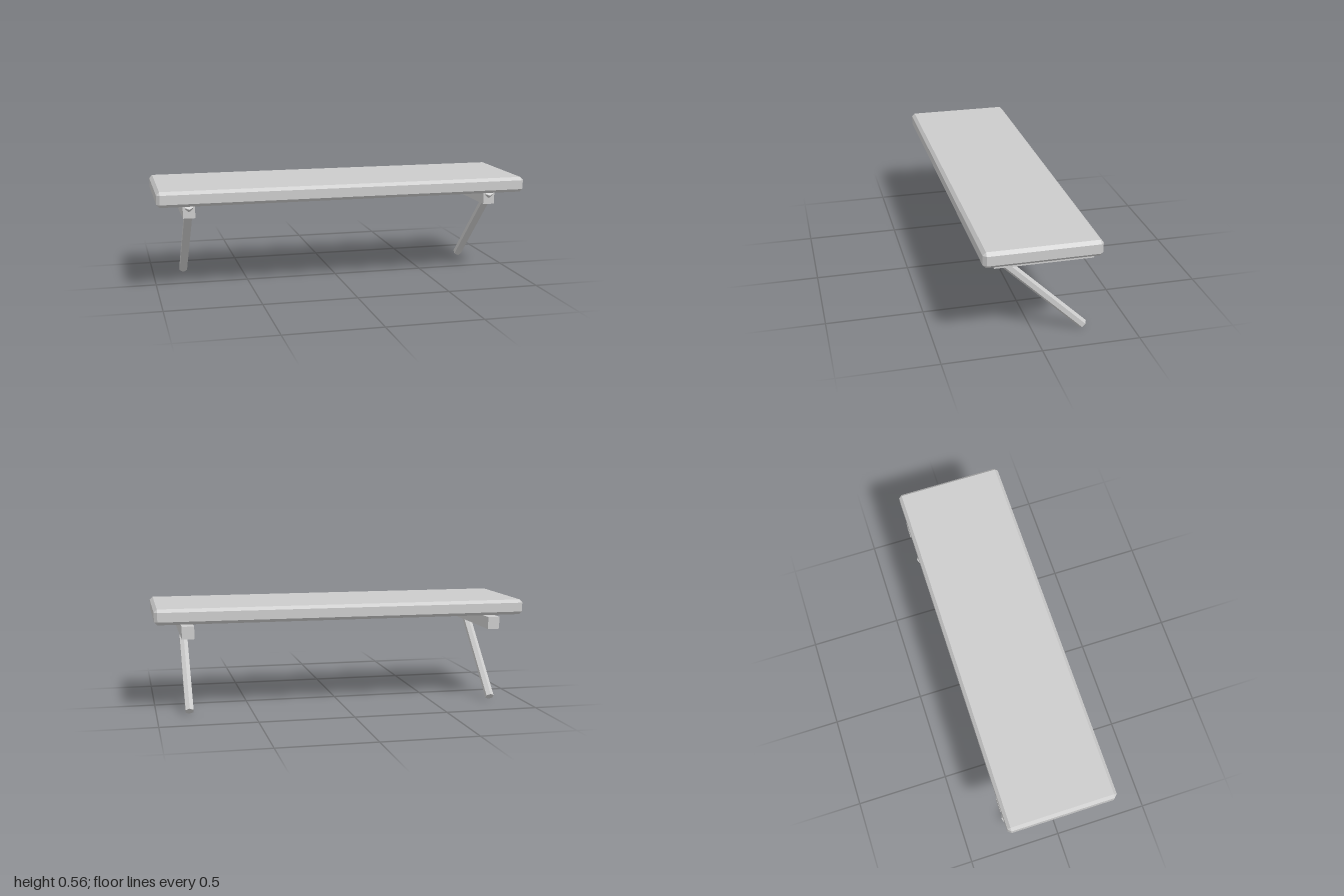
import * as THREE from 'three';
import { ConvexGeometry } from 'three/addons/geometries/ConvexGeometry.js';

// Box with every edge cut at 45 degrees
function chamferedBox(w, h, d, c) {
  const points = [];
  for (const sx of [-1, 1]) for (const sy of [-1, 1]) for (const sz of [-1, 1]) {
    for (let axis = 0; axis < 3; axis++) {
      const inset = [c, c, c];
      inset[axis] = 0;
      points.push(new THREE.Vector3(
        sx * (w / 2 - inset[0]), sy * (h / 2 - inset[1]), sz * (d / 2 - inset[2])));
    }
  }
  return new ConvexGeometry(points);
}

export function createModel() {
  const model = new THREE.Group();
  model.name = 'shelf';
  const grey = new THREE.MeshStandardMaterial({ color: 0xcccccc, flatShading: true });
  grey.name = 'grey';

  const add = (name, geometry, x, y, z) => {
    const mesh = new THREE.Mesh(geometry, grey);
    mesh.name = name;
    mesh.position.set(x, y, z);
    model.add(mesh);
    return mesh;
  };

  // Board
  add('board', chamferedBox(2, 0.082, 0.584, 0.0165), 0, 0.519, 0);

  // Rail and slanted hexagonal brace at each end
  const top = new THREE.Vector3(0, 0.469, 0.209);
  const foot = new THREE.Vector3(0, 0.0173, -0.258);
  const along = top.clone().sub(foot);
  const middle = top.clone().add(foot).multiplyScalar(0.5);
  const railGeometry = new THREE.BoxGeometry(0.064, 0.066, 0.501);
  const braceGeometry = new THREE.CylinderGeometry(0.024, 0.024, along.length(), 6);
  for (const [side, x] of [['left', 0.83], ['right', -0.83]]) {
    add(side + 'Rail', railGeometry, x, 0.436, -0.0415);
    const brace = add(side + 'Brace', braceGeometry, x, middle.y, middle.z);
    brace.rotation.x = Math.atan2(along.z, along.y);
  }
  return model;
}
